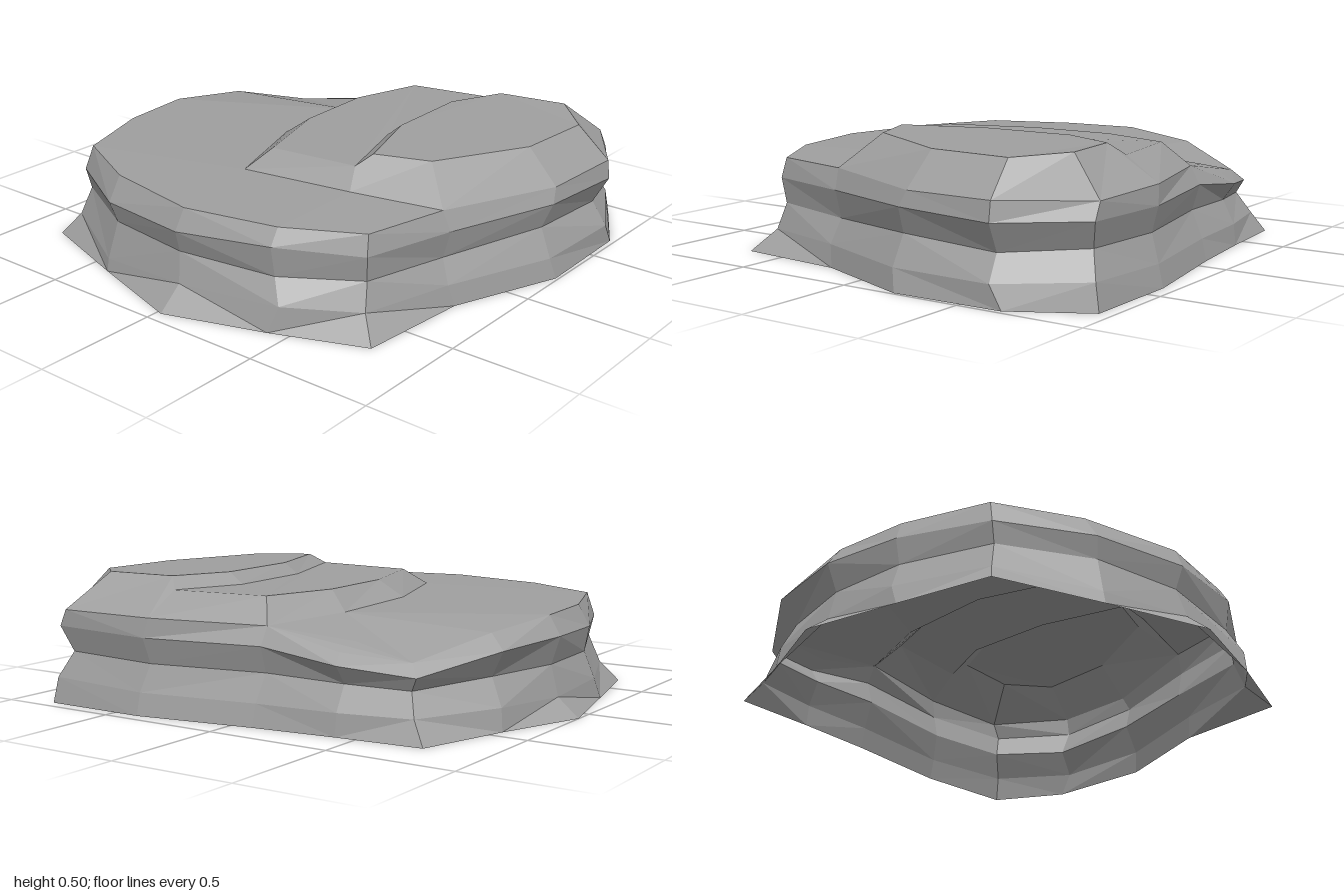
import * as THREE from 'three';

const material = new THREE.MeshStandardMaterial({ color: 0x9f9f9f, flatShading: true, side: THREE.DoubleSide });

function meshFrom(name, points) {
  const geometry = new THREE.BufferGeometry().setFromPoints(points);
  geometry.computeVertexNormals();
  const mesh = new THREE.Mesh(geometry, material);
  mesh.name = name;
  return mesh;
}

// Open surface between a lower and an upper line of points; repeated points make single triangles
function strip(name, lower, upper) {
  const out = [];
  for (let i = 0; i < lower.length - 1; i++) {
    const j = i + 1;
    if (lower[i] !== lower[j]) out.push(lower[i], lower[j], upper[j]);
    if (upper[i] !== upper[j]) out.push(lower[i], upper[j], upper[i]);
  }
  return meshFrom(name, out);
}

// Closed side band whose diagonals alternate from column to column
function band(name, lower, upper) {
  const out = [];
  lower.forEach((a, i) => {
    const j = (i + 1) % lower.length;
    const b = lower[j], c = upper[j], d = upper[i];
    if (i % 2) out.push(a, b, c, a, c, d);
    else out.push(a, b, d, b, c, d);
  });
  return meshFrom(name, out);
}

// Nearly level facet, triangulated as seen from above
function sheet(name, points) {
  const flat = points.map((p) => new THREE.Vector2(p.x, -p.z));
  const faces = THREE.ShapeUtils.triangulateShape(flat, []);
  return meshFrom(name, faces.flat().map((i) => points[i]));
}

// Points as [x, z] at a common height, or [x, z, y] where the height differs
const line = (height, list) => list.map(([x, z, y = height]) => new THREE.Vector3(x, y, z));

export function createModel() {
  const group = new THREE.Group();
  group.name = 'steppedRock';

  // Outlines run left, front, right, back
  const foot = line(0, [[-1, -0.09], [-0.91, 0.3], [-0.82, 0.68], [-0.4, 0.82], [0.02, 0.95], [0.42, 0.82],
    [0.78, 0.68], [0.82, 0.22], [0.99, -0.22], [0.98, -0.67], [0.82, -0.95], [0.39, -0.95],
    [-0.09, -0.87], [-0.42, -0.83], [-0.76, -0.8], [-0.87, -0.44]]);
  const lowerBulge = line(0.085, [[-0.91, -0.08, 0.07], [-0.9, 0.26], [-0.76, 0.62], [-0.4, 0.81, 0.05], [0.02, 0.85],
    [0.45, 0.79, 0.1], [0.7, 0.61], [0.8, 0.24], [0.97, -0.2], [0.98, -0.62], [0.81, -0.93, 0.1], [0.39, -0.93],
    [-0.09, -0.85], [-0.42, -0.82], [-0.7, -0.76], [-0.86, -0.43]]);
  const groove = line(0.19, [[-0.88, -0.08], [-0.86, 0.25], [-0.72, 0.59, 0.2], [-0.38, 0.77, 0.2], [0, 0.82, 0.2],
    [0.4, 0.75], [0.68, 0.575], [0.76, 0.22, 0.18], [0.92, -0.21, 0.2], [0.92, -0.61, 0.18], [0.76, -0.89, 0.2],
    [0.37, -0.89], [-0.1, -0.8], [-0.42, -0.77, 0.18], [-0.66, -0.71, 0.17], [-0.81, -0.41]]);
  const upperBulge = line(0.29, [[-0.92, -0.09, 0.3], [-0.88, 0.25], [-0.74, 0.6, 0.28], [-0.4, 0.79, 0.28], [0.01, 0.85],
    [0.4, 0.77, 0.31], [0.69, 0.59, 0.29], [0.79, 0.22], [0.96, -0.22, 0.3], [0.98, -0.62], [0.8, -0.92, 0.3],
    [0.38, -0.92], [-0.1, -0.83], [-0.42, -0.82, 0.25], [-0.69, -0.73, 0.22], [-0.87, -0.44]]);
  const rim = line(0.375, [[-0.87, -0.08], [-0.84, 0.23], [-0.72, 0.57], [-0.4, 0.73], [0.02, 0.81], [0.4, 0.73],
    [0.68, 0.57, 0.37], [0.76, 0.23, 0.37], [0.95, -0.25, 0.36], [0.97, -0.62, 0.365], [0.77, -0.92, 0.365],
    [0.36, -0.91, 0.365], [-0.1, -0.79, 0.36], [-0.4, -0.77, 0.29], [-0.65, -0.69, 0.265], [-0.8, -0.4, 0.345]]);

  const rings = [foot, lowerBulge, groove, upperBulge, rim];
  for (let i = 0; i < rings.length - 1; i++) {
    group.add(band('sideBand' + (i + 1), rings[i], rings[i + 1]));
  }

  // Lower and upper edges of the two steps, and the bend where the top falls to the back corner
  const step1Foot = [rim[12], ...line(0.385, [[-0.2, -0.44, 0.375], [-0.2, -0.03], [-0.05, 0.4], [0.41, 0.33]])];
  const step1Edge = line(0.453, [[-0.03, -0.7], [-0.12, -0.41], [-0.11, -0.07], [0, 0.29], [0.38, 0.26, 0.46]]);
  const step2Foot = [...line(0.455, [[0.35, -0.77], [0.24, -0.5], [0.26, -0.11]]), step1Edge[4]];
  const step2Edge = line(0.5, [[0.4, -0.72], [0.3, -0.5], [0.31, -0.13], [0.42, 0.2]]);
  const summitEdge = line(0.49, [[0.63, 0.12, 0.497], [0.82, -0.26], [0.84, -0.6], [0.68, -0.76, 0.503]]);
  const [back, a, b, c, corner] = step1Foot;
  const [bend] = line(0.317, [[-0.41, -0.68]]);

  group.add(
    strip('lowerTop',
      [back, bend, rim[14], rim[15], ...rim.slice(0, 8)],
      [a, a, a, a, a, b, b, c, c, corner, corner, corner]),
    sheet('backShelf', [back, rim[13], rim[14], bend]),
    strip('lowerStep', step1Foot, step1Edge),
    sheet('middleTop', [...step1Edge, ...step2Foot.slice(0, 3).reverse()]),
    strip('upperStep', step2Foot, step2Edge),
    sheet('summit', [...step2Edge, ...summitEdge]),
    meshFrom('stepCorner', [corner, step2Edge[3], step1Edge[4]]),
    // Slope from the summit down to the rim
    strip('outerSlope',
      [corner, ...rim.slice(7, 12), rim[11], rim[12]],
      [step2Edge[3], ...summitEdge, step2Edge[0], step2Foot[0], step1Edge[0]]),
  );
  return group;
}
